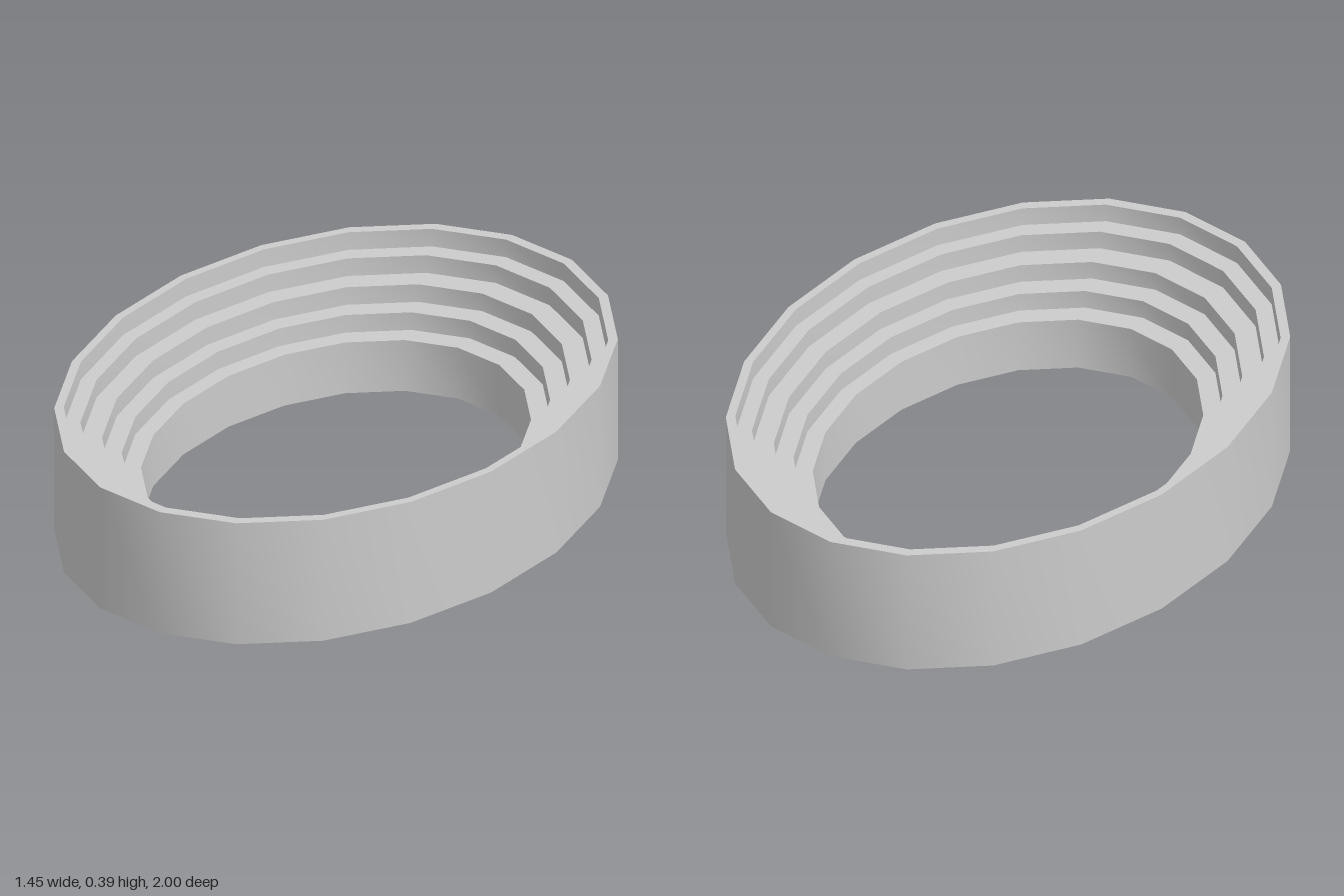
import * as THREE from 'three';
import { toCreasedNormals } from 'three/addons/utils/BufferGeometryUtils.js';

const HEIGHT = 0.386;
const STEP = 0.056;      // drop from one tier to the next
const WIDTH_RATIO = 0.7236; // oval: x radius relative to z radius
const SIDES = 20;

// z radii: outer wall, then the inner edge of each tier going down
const RADII = [1, 0.966, 0.907, 0.83, 0.76, 0.692];

export function createModel() {
  const group = new THREE.Group();
  group.name = 'steppedOvalRing';

  // closed profile: flat underside, outer wall, stepped tiers, inner wall
  const inner = RADII[RADII.length - 1];
  const profile = [new THREE.Vector2(inner, 0), new THREE.Vector2(RADII[0], 0)];
  for (let i = 0; i < RADII.length - 1; i++) {
    const y = HEIGHT - i * STEP;
    profile.push(new THREE.Vector2(RADII[i], y), new THREE.Vector2(RADII[i + 1], y));
  }
  profile.push(new THREE.Vector2(inner, 0));

  // revolve, squash to an oval, keep the step edges sharp
  const lathe = new THREE.LatheGeometry(profile, SIDES);
  lathe.scale(WIDTH_RATIO, 1, 1);
  const geometry = toCreasedNormals(lathe, THREE.MathUtils.degToRad(35));

  const tiers = new THREE.Mesh(geometry, new THREE.MeshStandardMaterial({ color: 0xcccccc }));
  tiers.name = 'tieredStand';
  group.add(tiers);
  return group;
}
